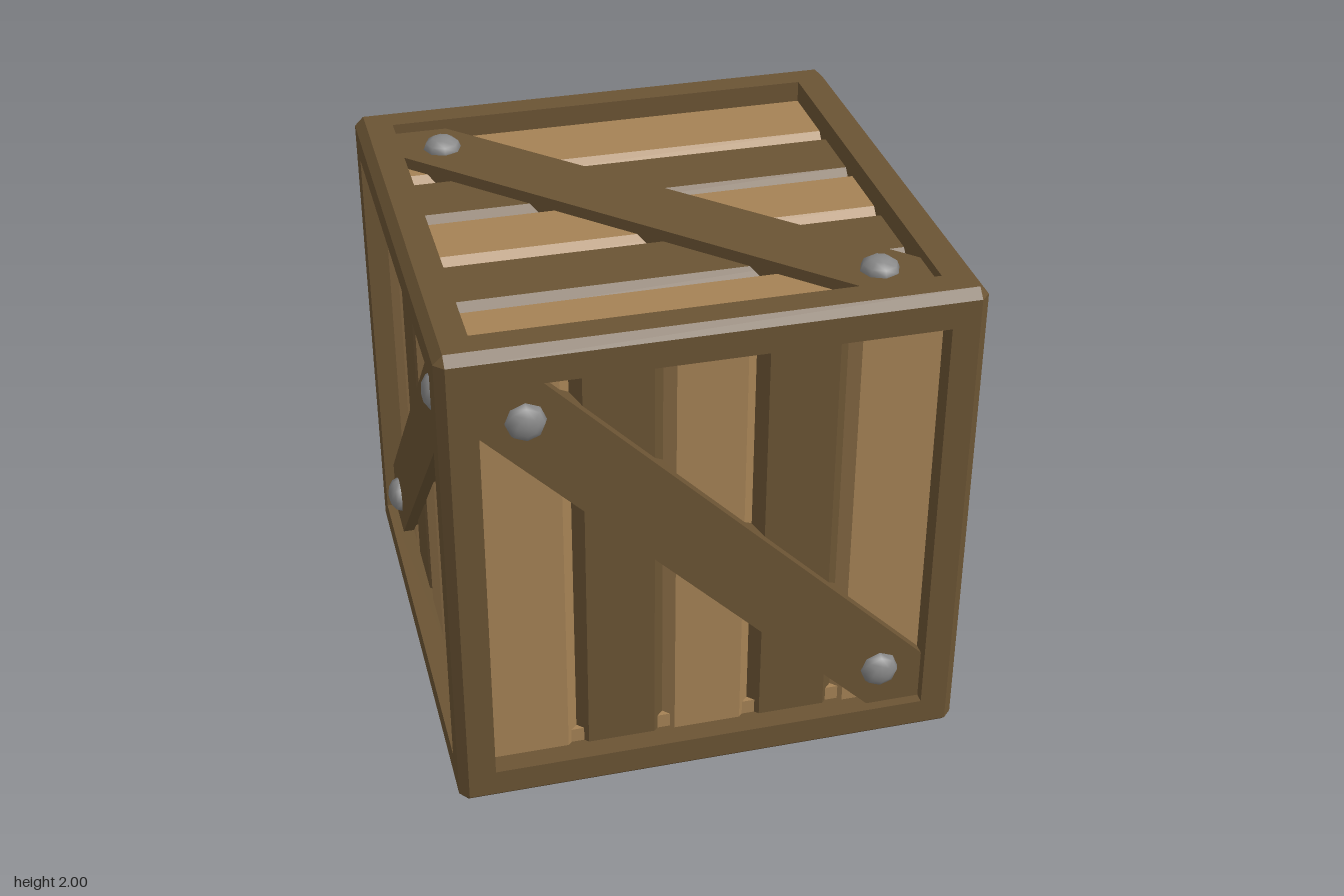
import * as THREE from 'three';

const OUT = 0.99, IN = 0.85, BEVEL = 0.035; // frame outside, opening, chamfer
const PLANK_TOP = 0.905, BRACE_TOP = 0.95;

const material = (color) => new THREE.MeshStandardMaterial({ color });
const lightWood = material(0xa58255);
const darkWood = material(0x6b5434);
const metal = material(0x888888);

function addMesh(parent, name, geometry, mat) {
  const mesh = new THREE.Mesh(geometry, mat);
  mesh.name = name;
  parent.add(mesh);
  return mesh;
}

function extrude(points, depth) {
  const shape = new THREE.Shape(points.map(([x, y]) => new THREE.Vector2(x, y)));
  return new THREE.ExtrudeGeometry(shape, { depth, bevelEnabled: false });
}

// Twelve edge beams with a chamfered outer edge, plus eight corner caps
function createFrame() {
  const frame = new THREE.Group();
  frame.name = 'frame';
  const c = OUT - BEVEL;
  const beam = extrude([[IN, IN], [OUT, IN], [OUT, c], [c, OUT], [IN, OUT]], 2 * c);
  beam.translate(0, 0, -c);
  const axes = [[0, 0], [Math.PI / 2, 0], [0, Math.PI / 2]];
  for (const [rx, ry] of axes) {
    for (let i = 0; i < 4; i++) {
      addMesh(frame, 'frameBeam', beam, darkWood).rotation.set(rx, ry, i * Math.PI / 2);
    }
  }
  const corner = new THREE.OctahedronGeometry(BEVEL);
  for (const x of [-c, c]) for (const y of [-c, c]) for (const z of [-c, c]) {
    addMesh(frame, 'frameCorner', corner, darkWood).position.set(x, y, z);
  }
  return frame;
}

// Plank running along y with both long edges chamfered, facing +z
function plankGeometry(x0, x1) {
  const b = 0.04, base = 0.79, length = 2 * IN + 0.04;
  const section = [
    [x0, -base], [x0, b - PLANK_TOP], [x0 + b, -PLANK_TOP],
    [x1 - b, -PLANK_TOP], [x1, b - PLANK_TOP], [x1, -base],
  ];
  return extrude(section, length).rotateX(-Math.PI / 2).translate(0, -length / 2, 0);
}

// One side facing +z: five planks, a diagonal brace and two nails
function createPanel(name, mirror) {
  const panel = new THREE.Group();
  panel.name = name;
  const edges = [-0.89, -0.51, -0.17, 0.17, 0.51, 0.89];
  for (let i = 0; i < 5; i++) {
    addMesh(panel, 'plank', plankGeometry(edges[i], edges[i + 1]), i % 2 ? darkWood : lightWood);
  }

  // Brace trimmed to the corners of the opening
  const s = mirror ? -1 : 1, e = IN, k = IN - 0.213;
  const outline = [[-e, e], [-e, k], [k, -e], [e, -e], [e, -k], [-k, e]].map(([x, y]) => [s * x, y]);
  const brace = extrude(outline, BRACE_TOP - 0.85).translate(0, 0, 0.85);
  addMesh(panel, 'brace', brace, darkWood);

  // Domed nail heads
  const dome = new THREE.SphereGeometry(0.075, 8, 3, 0, Math.PI * 2, 0, Math.PI / 2);
  dome.scale(1, (1 - BRACE_TOP) / 0.075, 1).rotateX(Math.PI / 2);
  for (const d of [-0.68, 0.68]) {
    addMesh(panel, 'nailHead', dome, metal).position.set(s * d, -d, BRACE_TOP);
  }
  return panel;
}

export function createModel() {
  const model = new THREE.Group();
  model.name = 'woodenCrate';
  const crate = new THREE.Group();
  crate.name = 'crate';
  crate.position.y = 1;
  model.add(crate);
  crate.add(createFrame());

  // name, rotation x, y, z, mirrored brace
  const q = Math.PI / 2;
  const sides = [
    ['frontPanel', 0, 0, 0, false],
    ['backPanel', 0, 2 * q, 0, false],
    ['leftPanel', 0, q, 0, true],
    ['rightPanel', 0, -q, 0, true],
    ['topPanel', -q, 0, q, true],
    ['bottomPanel', q, 0, q, true],
  ];
  for (const [name, rx, ry, rz, mirror] of sides) {
    const panel = createPanel(name, mirror);
    panel.rotation.set(rx, ry, rz);
    crate.add(panel);
  }
  return model;
}
